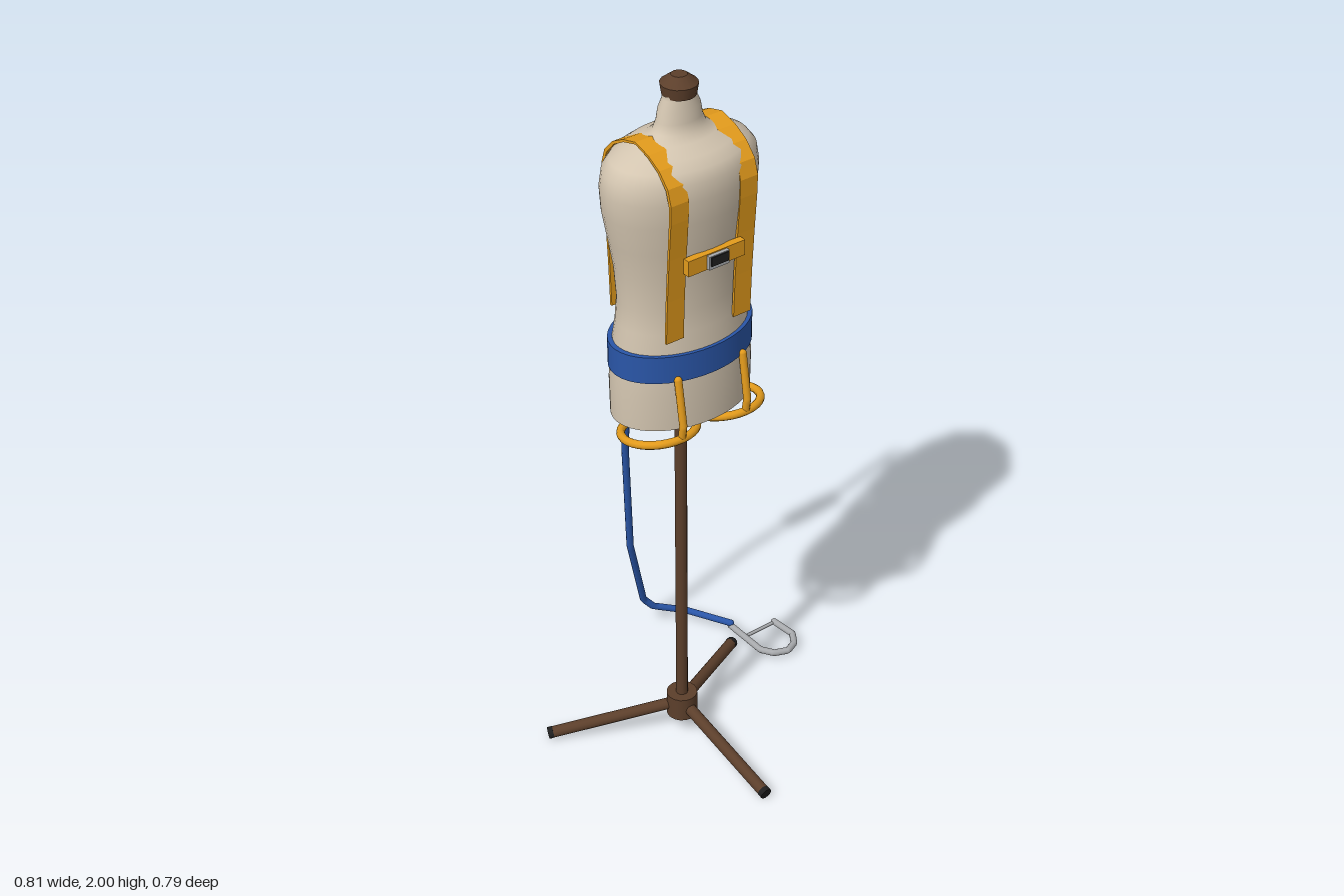
import * as THREE from 'three';
import { RoundedBoxGeometry } from 'three/addons/geometries/RoundedBoxGeometry.js';

const mat = (name, color, extra = {}) => new THREE.MeshStandardMaterial({ name, color, ...extra });
const V = (x, y, z) => new THREE.Vector3(x, y, z);
const CX = -0.08, CZ = 0.025, DEPTH = 0.68; // torso axis and depth-to-width ratio

export function createModel() {
  const fabric = mat('torso fabric', 0xd3c5b0);
  const wood = mat('dark wood', 0x5c3f2b);
  const webbing = mat('orange webbing', 0xe39b1c);
  const blue = mat('blue webbing', 0x2a56a8);
  const blueOpen = mat('blue belt', 0x2a56a8, { side: THREE.DoubleSide });
  const black = mat('black plastic', 0x1f1f1f);
  const metal = mat('grey metal', 0xa8aaad);

  const model = new THREE.Group();
  model.name = 'safetyHarnessOnStand';

  function add(name, geometry, material, x = 0, y = 0, z = 0) {
    const m = new THREE.Mesh(geometry, material);
    m.name = name;
    m.position.set(x, y, z);
    model.add(m);
    return m;
  }

  // Straight round bar between two points
  function rod(name, a, b, r, material, sides = 12) {
    const d = b.clone().sub(a);
    const m = add(name, new THREE.CylinderGeometry(r, r, d.length(), sides), material);
    m.position.copy(a).add(b).multiplyScalar(0.5);
    m.quaternion.setFromUnitVectors(V(0, 1, 0), d.normalize());
    return m;
  }

  // Round tube along a bent line, with closed ends
  function tube(name, points, r, material, segments = 60) {
    const path = new THREE.CurvePath();
    for (let i = 1; i < points.length; i++) path.add(new THREE.LineCurve3(points[i - 1], points[i]));
    add(name, new THREE.TubeGeometry(path, segments, r, 10), material);
    for (const p of [points[0], points[points.length - 1]]) {
      add(name + 'End', new THREE.SphereGeometry(r, 10, 6), material, p.x, p.y, p.z);
    }
  }

  // Torso with neck
  const profile = [
    [0.196, 1.10], [0.198, 1.2], [0.19, 1.3], [0.178, 1.37], [0.173, 1.43], [0.18, 1.52], [0.194, 1.6],
    [0.209, 1.68], [0.213, 1.74], [0.206, 1.785], [0.185, 1.812], [0.15, 1.832], [0.1, 1.85],
    [0.072, 1.866], [0.062, 1.89], [0.057, 1.92], [0.046, 1.945], [0.046, 1.956],
  ].map(([r, y]) => new THREE.Vector2(r, y));
  add('torso', new THREE.LatheGeometry(profile, 40), fabric, CX, 0, CZ).scale.z = DEPTH;
  const base = add('torsoBase', new THREE.CircleGeometry(0.196, 40).rotateX(Math.PI / 2), fabric, CX, 1.10, CZ);
  base.scale.z = DEPTH;

  // Neck cap
  add('neckCap', new THREE.CylinderGeometry(0.047, 0.042, 0.03, 16), wood, CX, 1.964, CZ);
  add('neckCapTop', new THREE.CylinderGeometry(0.02, 0.047, 0.021, 16), wood, CX, 1.9895, CZ);

  // Stand: pole, hub and three splayed legs with dark feet
  rod('pole', V(CX, 0.06, CZ), V(CX, 1.11, CZ), 0.016, wood);
  add('hub', new THREE.CylinderGeometry(0.042, 0.042, 0.07, 16), wood, CX, 0.092, CZ);
  for (let i = 0; i < 3; i++) {
    const a = Math.PI / 2 + (i * 2 * Math.PI) / 3;
    const at = (d, y) => V(CX + Math.cos(a) * d, y, CZ + Math.sin(a) * d);
    rod('leg', at(0, 0.095), at(0.356, 0.0205), 0.016, wood);
    rod('foot', at(0.354, 0.021), at(0.368, 0.018), 0.0165, black);
  }

  // Waist belt
  const belt = [[0.19, 1.242], [0.2, 1.242], [0.2, 1.242], [0.2, 1.317], [0.2, 1.317], [0.185, 1.317]]
    .map(([r, y]) => new THREE.Vector2(r, y));
  add('waistBelt', new THREE.LatheGeometry(belt, 40), blueOpen, CX, 0, CZ).scale.z = DEPTH;

  // Shoulder straps running over the shoulders, front to back
  const half = [[0.115, 1.36], [0.12, 1.48], [0.128, 1.6], [0.136, 1.7], [0.1375, 1.75], [0.125, 1.79],
    [0.092, 1.825], [0.05, 1.848], [0, 1.862]];
  const outline = [...half, ...half.slice(0, -1).reverse().map(([z, y]) => [-z, y])];
  const inner = outline.map(([z, y]) => [z * 0.94, y > 1.37 ? y - 0.006 : y]).reverse();
  const strapShape = new THREE.Shape([...outline, ...inner].map(([z, y]) => new THREE.Vector2(z, y)));
  const strapGeo = new THREE.ExtrudeGeometry(strapShape, { depth: 0.052, bevelEnabled: false });
  strapGeo.translate(0, 0, -0.026).rotateY(Math.PI / 2);

  for (const s of [-1, 1]) {
    add('shoulderStrap', strapGeo, webbing, CX + s * 0.1025, 0, CZ);
    // Leg loop and the strap joining it to the belt
    const loop = add('legLoop', new THREE.TorusGeometry(0.096, 0.011, 10, 32), webbing, CX + s * 0.101, 1.066, 0.068);
    loop.rotation.x = Math.PI / 2 - 0.19;
    const x = CX + s * 0.1;
    tube('legLoopStrap', [V(x, 1.085, 0.162), V(x, 1.125, 0.168), V(x, 1.25, 0.148)], 0.01, webbing, 20);
  }

  // Chest strap and buckle
  add('chestStrap', new THREE.BoxGeometry(0.17, 0.042, 0.02), webbing, CX, 1.57, 0.161);
  add('bucklePlate', new THREE.BoxGeometry(0.06, 0.036, 0.014), metal, CX, 1.57, 0.174);
  add('buckle', new THREE.BoxGeometry(0.052, 0.024, 0.012), black, CX, 1.574, 0.179);

  // Back pad with attachment ring
  add('backPad', new THREE.BoxGeometry(0.095, 0.07, 0.014), webbing, CX, 1.645, -0.127);
  const ring = add('backRing', new THREE.TorusGeometry(0.034, 0.006, 8, 20, Math.PI * 1.15), metal, CX, 1.645, -0.145);
  ring.rotation.set(0, Math.PI / 2, 0);
  ring.geometry.rotateZ(-Math.PI * 0.575);

  // Lanyard with shock absorber pack
  tube('lanyard', [
    V(CX, 1.605, -0.178), V(-0.045, 1.18, -0.222), V(-0.036, 0.99, -0.262), V(-0.02, 0.73, -0.303),
    V(0.016, 0.36, -0.338), V(0.095, 0.1, -0.388), V(0.122, 0.068, -0.378), V(0.21, 0.034, -0.34),
    V(0.28, 0.03, -0.217),
  ], 0.01, blue, 120);
  const pack = add('shockAbsorber', new RoundedBoxGeometry(0.083, 0.185, 0.05, 3, 0.01), black, -0.034, 1.09, -0.244);
  pack.rotation.x = 0.2;

  // Snap hook lying on the floor
  const hook = [[0.28, -0.217], [0.28, -0.08], [0.302, -0.045], [0.34, -0.03], [0.374, -0.045], [0.397, -0.08], [0.39, -0.155]];
  tube('snapHook', hook.map(([x, z]) => V(x, 0.021, z)), 0.0095, metal, 60);
  rod('snapHookGate', V(0.28, 0.021, -0.153), V(0.39, 0.021, -0.153), 0.005, metal, 8);

  return model;
}
